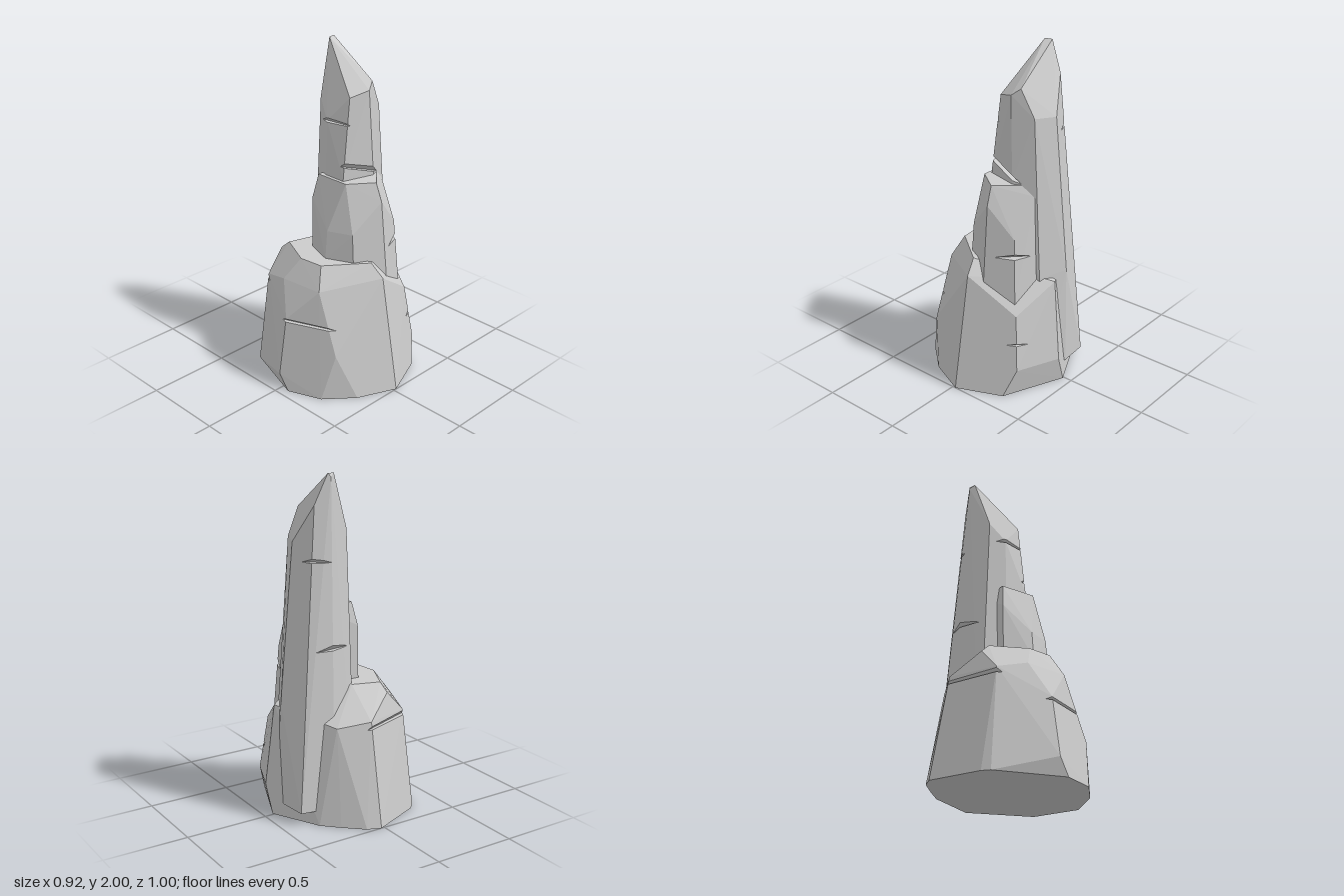
import * as THREE from 'three';
import { ConvexGeometry } from 'three/addons/geometries/ConvexGeometry.js';

const V = (x, y, z) => new THREE.Vector3(x, y, z);
const material = new THREE.MeshStandardMaterial({ color: 0xcccccc, flatShading: true });

// Keep the part of a convex solid on the side of the plane its normal points away from.
function clip(points, normal, origin) {
  const side = (p) => p.clone().sub(origin).dot(normal);
  if (points.every((p) => side(p) <= 0)) return points;
  const kept = new Map();
  const add = (p) => kept.set(p.toArray().map((v) => Math.round(v * 5000)).join(), p);
  points.filter((p) => side(p) <= 0).forEach(add);
  const pos = new ConvexGeometry(points).attributes.position;
  for (let i = 0; i < pos.count; i++) {
    const j = i % 3 === 2 ? i - 2 : i + 1;
    const a = V().fromBufferAttribute(pos, i);
    const b = V().fromBufferAttribute(pos, j);
    const da = side(a), db = side(b);
    if (da < 0 && db > 0) add(a.lerp(b, da / (da - db)));
  }
  return [...kept.values()];
}

// A wedge-shaped crack leaves two overlapping convex pieces: below its floor and above its roof.
function crack(pieces, { at, angle, depth, height, tilt = 0 }) {
  const out = V(Math.sin(angle), 0, Math.cos(angle));
  const along = V(Math.cos(angle), 0, -Math.sin(angle));
  const up = V(0, 1, 0).addScaledVector(along, tilt).normalize();
  const tip = V(...at).addScaledVector(out, -depth);
  const roof = up.clone().multiplyScalar(depth).addScaledVector(out, -height).normalize();
  return pieces
    .flatMap((p) => [clip(p, up, tip), clip(p, roof.negate().clone(), tip), roof.negate()].slice(0, 2))
    .filter((p) => p.length > 3);
}

function rock(name, corners, cracks) {
  const group = new THREE.Group();
  group.name = name;
  let pieces = [corners.map((c) => V(...c))];
  for (const c of cracks) pieces = crack(pieces, c);
  pieces.forEach((p, i) => {
    const mesh = new THREE.Mesh(new ConvexGeometry(p), material);
    mesh.name = `${name}Piece${i + 1}`;
    group.add(mesh);
  });
  return group;
}

export function createModel() {
  const model = new THREE.Group();
  model.name = 'rockFormation';

  // Broad base boulder
  model.add(rock('baseRock', [
    // footprint
    [0.02, 0, -0.5], [-0.28, 0, -0.375], [-0.32, 0, -0.34], [-0.45, 0, 0.06], [-0.37, 0, 0.26],
    [-0.21, 0, 0.4], [0.02, 0, 0.5], [0.29, 0, 0.385], [0.445, 0, 0.01], [0.3, 0, -0.28],
    [0.21, 0, -0.37], [0.1, 0, -0.47],
    // flanks
    [-0.46, 0.1, 0], [-0.3, 0.28, 0.31], [0.35, 0.17, 0.33], [0.455, 0.17, 0.07],
    [-0.4, 0.45, 0], [-0.28, 0.6, -0.28], [0.02, 0.61, -0.39], [0.2, 0.58, -0.31],
    [0.31, 0.5, 0.29], [0.4, 0.66, 0.05], [0.02, 0.7, 0.375],
    // crown
    [-0.32, 0.65, -0.1], [-0.295, 0.65, 0.17], [-0.155, 0.73, -0.295], [-0.145, 0.78, -0.24],
    [-0.245, 0.78, -0.03], [-0.23, 0.78, 0.12], [0, 0.78, 0.3], [0.02, 0.78, -0.19],
  ], [
    { at: [-0.35, 0.43, 0.16], angle: -1.19, depth: 0.035, height: 0.03 },
    { at: [-0.13, 0.565, -0.35], angle: Math.PI + 0.38, depth: 0.03, height: 0.035 },
    { at: [0.33, 0.32, 0.31], angle: 0.8, depth: 0.02, height: 0.015 },
  ]));

  // Middle spire leaning on the front
  model.add(rock('middleSpire', [
    [-0.09, 0.55, -0.1], [-0.15, 0.55, 0.07], [-0.08, 0.55, 0.245], [0.1, 0.55, 0.33],
    [0.28, 0.55, 0.265], [0.33, 0.55, 0.1],
    [-0.145, 0.78, 0.07], [-0.13, 0.95, 0.07], [-0.07, 0.95, 0.215], [0.1, 0.68, 0.328],
    [0.095, 1.13, 0.285], [0.255, 0.95, 0.24], [0.29, 1.18, 0.1], [-0.08, 1.1, -0.1],
    [-0.05, 1.24, -0.08], [-0.05, 1.24, 0.14], [0.09, 1.24, 0.245], [0.24, 1.24, 0.11], [0.2, 1.24, -0.08],
  ], [
    { at: [0.27, 0.83, 0.25], angle: 0.79, depth: 0.055, height: 0.04 },
  ]));

  // Tall slanted spire
  model.add(rock('tallSpire', [
    // foot
    [0.19, 0.08, -0.27], [0.395, 0.08, -0.235], [0.41, 0.08, -0.06], [0.36, 0.08, 0.11],
    [0.17, 0.08, 0.18], [-0.04, 0.08, 0.12], [-0.06, 0.08, -0.05], [0.0, 0.08, -0.2],
    // shoulders
    [0.41, 0.7, -0.045], [0.335, 0.68, 0.11], [-0.03, 1.25, 0.1], [0.165, 1.25, 0.152],
    [0.27, 1.63, 0.09], [0.32, 1.62, -0.04], [0.25, 1.83, -0.16], [-0.02, 1.57, -0.04], [0.02, 1.68, -0.13],
    // slanted tip
    [0.19, 1.79, 0.11], [0.14, 1.75, 0.135], [0.03, 1.72, 0.09],
    [0.13, 2, -0.17], [0.175, 2, -0.18], [0.16, 1.98, -0.19],
  ], [
    { at: [0.1, 1.28, 0.14], angle: -0.25, depth: 0.035, height: 0.035, tilt: 0.3 },
    { at: [-0.025, 1.56, 0.02], angle: -1.45, depth: 0.04, height: 0.04 },
    { at: [0.28, 1.515, -0.2], angle: 2.5, depth: 0.06, height: 0.04 },
    { at: [0.19, 1.015, -0.235], angle: Math.PI + 0.15, depth: 0.035, height: 0.035 },
  ]));

  return model;
}
